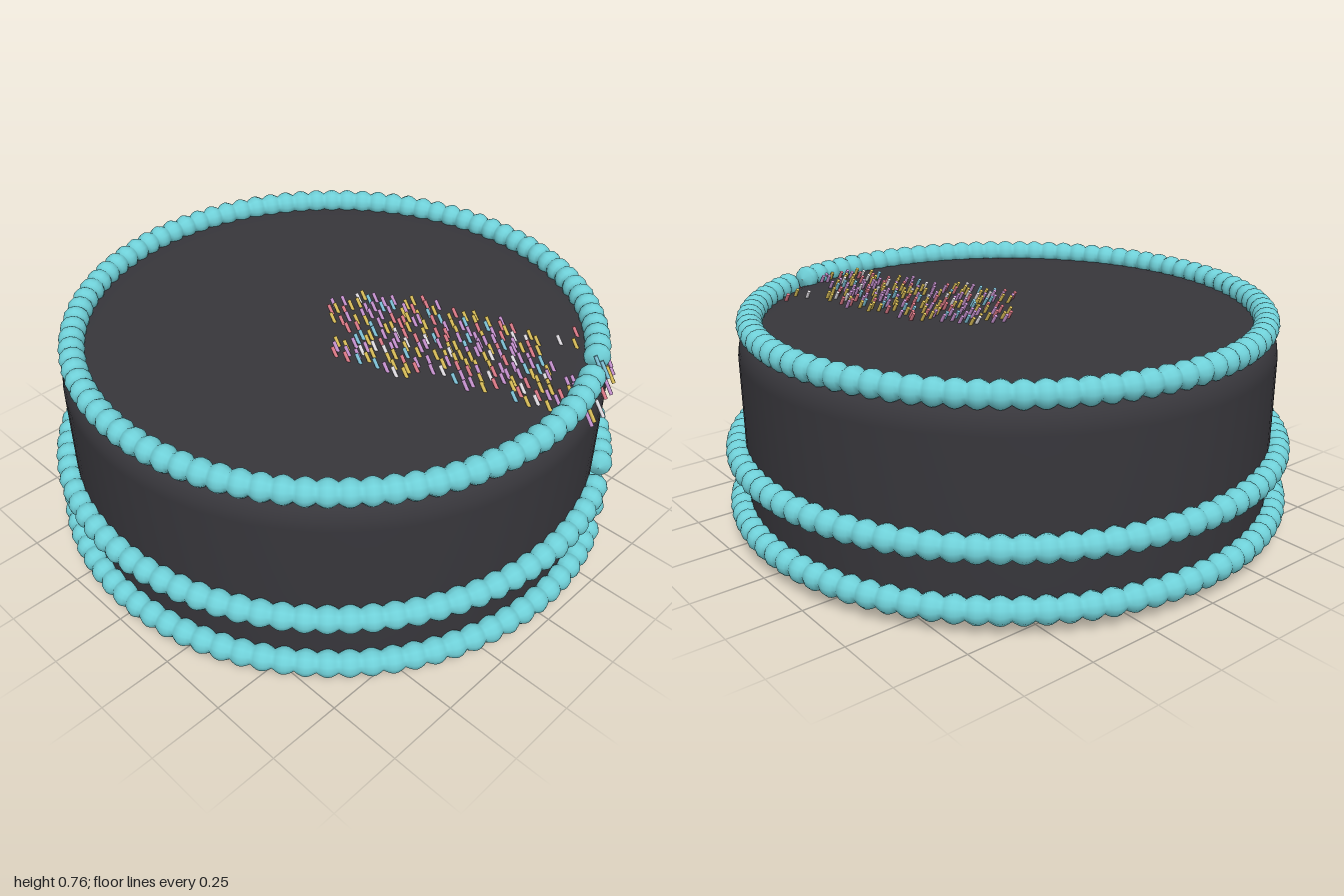
import * as THREE from 'three';
import { mergeGeometries } from 'three/addons/utils/BufferGeometryUtils.js';

const mat = (name, color) => Object.assign(new THREE.MeshStandardMaterial({ color }), { name });

function add(group, name, geometry, material) {
  const mesh = new THREE.Mesh(geometry, material);
  mesh.name = name;
  group.add(mesh);
  return mesh;
}

// Piped icing ring: a torus whose tube swells into beads, with a small gap where the piping ends.
function beadRing(radius, y) {
  const beads = 88, steps = 6, sides = 12;
  const start = THREE.MathUtils.degToRad(28.6), sweep = THREE.MathUtils.degToRad(356);
  const rows = beads * steps, pos = [], index = [];
  for (let i = 0; i <= rows; i++) {
    const a = start + (sweep * i) / rows;
    const end = i === 0 || i === rows;
    const r = end ? 0.001 : 0.031 + 0.014 * Math.sin((Math.PI * (i % steps)) / steps);
    for (let j = 0; j < sides; j++) {
      const t = (j / sides) * Math.PI * 2;
      const d = radius + r * Math.cos(t);
      pos.push(d * Math.sin(a), y + r * Math.sin(t), d * Math.cos(a));
    }
  }
  for (let i = 0; i < rows; i++) {
    for (let j = 0; j < sides; j++) {
      const k = (j + 1) % sides;
      const a = i * sides + j, b = i * sides + k, c = a + sides, d = b + sides;
      index.push(a, c, b, b, c, d);
    }
  }
  const g = new THREE.BufferGeometry();
  g.setAttribute('position', new THREE.Float32BufferAttribute(pos, 3));
  g.setIndex(index);
  g.computeVertexNormals();
  return g;
}

// Small seeded generator for the sprinkle scatter
function seeded(seed) {
  return () => {
    seed = (seed * 16807) % 2147483647;
    return seed / 2147483647;
  };
}

// Even-odd test of a point against the scatter outline
function inside(x, z, outline) {
  let hit = false;
  outline.forEach(([ax, az], i) => {
    const [bx, bz] = outline[(i + 1) % outline.length];
    if ((az > z) !== (bz > z) && x < ((bx - ax) * (z - az)) / (bz - az) + ax) hit = !hit;
  });
  return hit;
}

export function createModel() {
  const cake = new THREE.Group();
  cake.name = 'cake';

  const chocolate = mat('dark icing', 0x37363b);
  const teal = mat('teal icing', 0x6fd0d8);
  const board = mat('grey base', 0xa29f95);
  const sprinkleMats = [
    mat('yellow sprinkle', 0xdcc05a),
    mat('lavender sprinkle', 0xc994d2),
    mat('pink sprinkle', 0xe07c8a),
    mat('blue sprinkle', 0x80c4da),
    mat('white sprinkle', 0xe8e4ea),
  ];

  // Cake body with rounded top and bottom edges
  const profile = [
    [0, 0.004], [0.8, 0.004], [0.86, 0.008], [0.9, 0.025], [0.922, 0.055], [0.93, 0.1], [0.93, 0.35],
    [0.93, 0.61], [0.925, 0.645], [0.91, 0.675], [0.885, 0.692], [0.85, 0.7], [0.8, 0.7], [0, 0.7],
  ].map(([x, y]) => new THREE.Vector2(x, y));
  add(cake, 'cakeBody', new THREE.LatheGeometry(profile, 96), chocolate);

  // Grey disc underneath
  const disc = add(cake, 'baseDisc', new THREE.CircleGeometry(0.62, 28), board);
  disc.rotation.x = Math.PI / 2;

  // Piped borders
  add(cake, 'topBorder', beadRing(0.885, 0.72), teal);
  add(cake, 'middleBorder', beadRing(0.955, 0.28), teal);
  add(cake, 'bottomBorder', beadRing(0.955, 0.08), teal);

  // Scatter of sprinkles on the top, as x and z
  const outline = [
    [0.06, -0.08], [0.2, -0.06], [0.24, 0.05], [0.31, 0.1], [0.36, 0.3], [0.42, 0.42], [0.41, 0.56],
    [0.33, 0.63], [0.29, 0.82], [0.11, 0.83], [0.08, 0.63], [0.02, 0.58], [0.04, 0.45], [-0.07, 0.4],
    [-0.14, 0.14], [-0.08, 0.09], [0, 0.13], [0, 0],
  ];
  const rand = seeded(4711);
  const spots = [];
  for (let n = 0; n < 6000 && spots.length < 220; n++) {
    const x = -0.14 + rand() * 0.56, z = -0.08 + rand() * 0.92;
    const free = spots.every(([sx, , sz]) => Math.hypot(sx - x, (sz - z) * 0.6) > 0.021);
    if (free && inside(x, z, outline)) spots.push([x, 0.703, z]);
  }
  // Strays near the rim and a few falling over the front edge
  spots.push(
    [0.45, 0.703, 0.62], [0.47, 0.703, 0.67], [0.53, 0.703, 0.63], [0.42, 0.715, 0.79], [0.43, 0.7, 0.81],
    [0.21, 0.675, 0.9], [0.24, 0.67, 0.89], [0.31, 0.645, 0.88], [0.36, 0.675, 0.85],
    [0.43, 0.645, 0.83], [0.47, 0.66, 0.81], [0.53, 0.67, 0.76], [0.535, 0.64, 0.77],
  );

  // All sprinkles lean the same way, so one tilted rod serves for each
  const rod = new THREE.CylinderGeometry(0.0065, 0.0065, 0.062, 6);
  rod.rotateX(-0.62);
  const piles = sprinkleMats.map(() => []);
  const weights = [0, 0, 0, 1, 1, 1, 2, 2, 3, 4];
  spots.forEach(([x, y, z]) => {
    piles[weights[Math.floor(rand() * weights.length)]].push(rod.clone().translate(x, y, z));
  });
  piles.forEach((pile, i) => {
    if (pile.length) add(cake, 'sprinkles' + (i + 1), mergeGeometries(pile), sprinkleMats[i]);
  });

  return cake;
}
